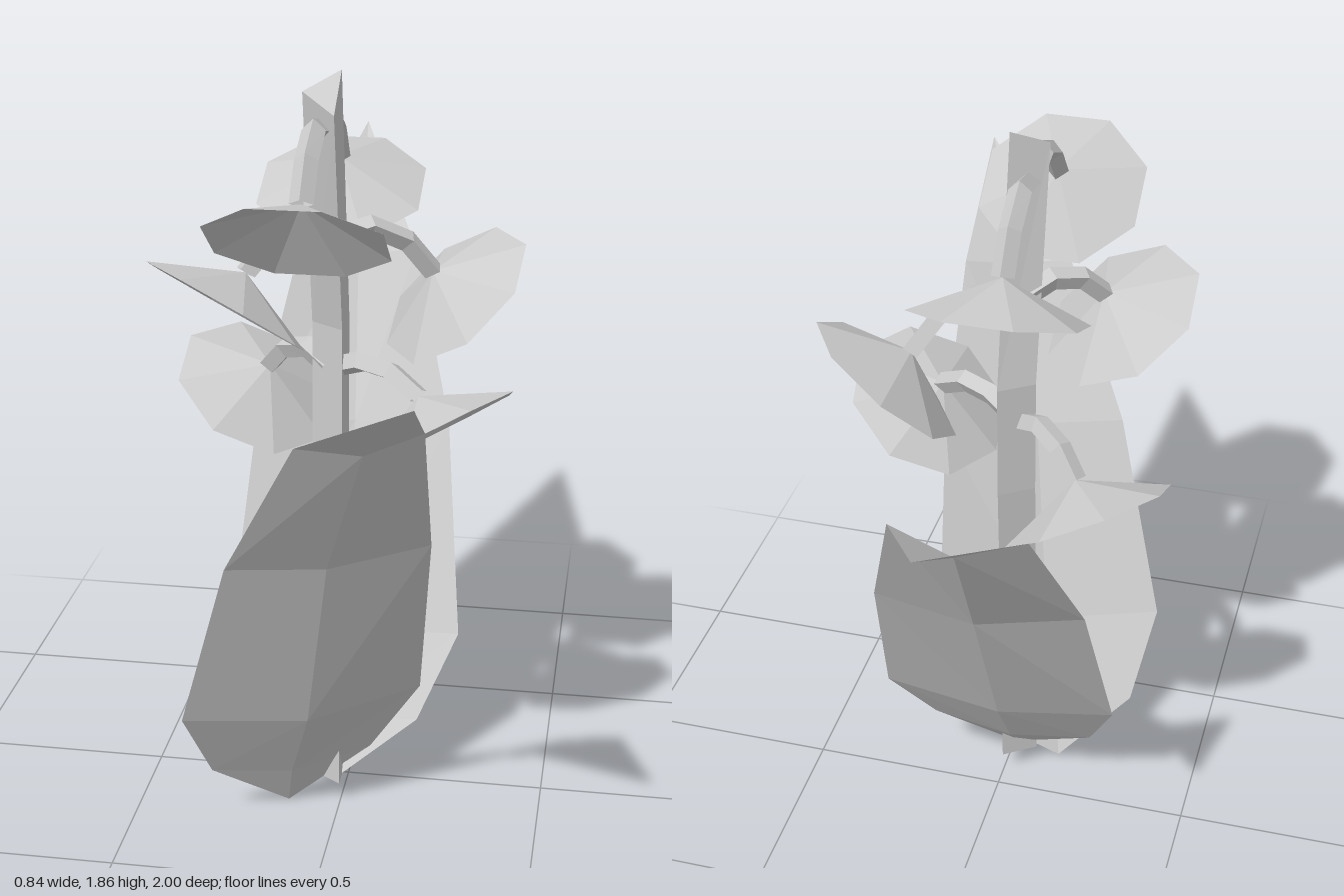
import * as THREE from 'three';

const mat = new THREE.MeshStandardMaterial({ color: 0xcccccc, flatShading: true, side: THREE.DoubleSide });

// Skins neighbouring rows of points, leaving out triangles that collapse at tips
function loft(rows) {
  const pos = [];
  const tri = (...p) => {
    const [a, b, c] = p.map(String);
    if (a !== b && b !== c && a !== c) pos.push(...p.flat());
  };
  for (let i = 0; i < rows.length - 1; i++) {
    for (let j = 0; j < rows[i].length - 1; j++) {
      const a = rows[i][j], b = rows[i][j + 1], c = rows[i + 1][j + 1], d = rows[i + 1][j];
      tri(a, b, c);
      tri(a, c, d);
    }
  }
  const geo = new THREE.BufferGeometry();
  geo.setAttribute('position', new THREE.Float32BufferAttribute(pos, 3));
  geo.computeVertexNormals();
  return geo;
}

function add(parent, name, geo) {
  const mesh = new THREE.Mesh(geo, mat);
  mesh.name = name;
  parent.add(mesh);
  return mesh;
}

// Leaf from rows of [left edge, midrib, right edge] between base and tip
function leaf(parent, name, base, rows, tip) {
  add(parent, name, loft([[base, base, base], ...rows, [tip, tip, tip]]));
}

// Stem section: triangle with a flat side at x = 0; the tip is cut at a slant
function stemRow(y, z, slant = 0) {
  const r = 0.055;
  const front = [0, y - slant, z + r];
  return [front, [0, y + slant, z - r], [-0.08, y, z], front];
}

export function createModel() {
  const plant = new THREE.Group();
  plant.name = 'floweringPlant';

  // Bent stem, capped at both ends
  const bottom = [-0.03, 0.06, 0.1], top = [-0.03, 1.82, 0.155];
  add(plant, 'stem', loft([
    Array(4).fill(bottom),
    stemRow(0.06, 0.1), stemRow(0.35, 0.09), stemRow(0.95, 0.05), stemRow(1.25, 0.045),
    stemRow(1.82, 0.155, 0.04),
    Array(4).fill(top),
  ]));

  // Two broad folded leaves
  leaf(plant, 'frontLeaf', [-0.13, 0, 0.15], [
    [[-0.30, 0.14, 0.27], [-0.11, 0.12, 0.21], [0.07, 0.14, 0.09]],
    [[-0.34, 0.35, 0.40], [-0.05, 0.33, 0.32], [0.20, 0.35, 0.14]],
    [[-0.19, 0.84, 0.57], [0.03, 0.83, 0.51], [0.25, 0.85, 0.39]],
    [[0.00, 1.21, 0.74], [0.14, 1.19, 0.71], [0.26, 1.22, 0.64]],
  ], [0.28, 1.41, 1]);
  leaf(plant, 'backLeaf', [-0.02, 0.05, 0.12], [
    [[-0.24, 0.19, 0.03], [-0.03, 0.17, 0.01], [0.18, 0.19, 0.03]],
    [[-0.32, 0.38, -0.08], [-0.03, 0.36, -0.12], [0.27, 0.38, -0.09]],
    [[-0.29, 0.86, -0.31], [-0.04, 0.84, -0.37], [0.21, 0.86, -0.34]],
    [[-0.22, 1.25, -0.57], [-0.07, 1.22, -0.62], [0.09, 1.25, -0.58]],
  ], [-0.10, 1.49, -1]);

  // Blossoms: rim centre, outward tilt, and where the stalk leaves the stem
  const blossoms = [
    { c: [-0.04, 1.56, 0.455], tilt: 0.64, from: [-0.04, 1.73, 0.14] },
    { c: [-0.04, 1.53, -0.145], tilt: 0.41, from: [-0.04, 1.73, 0.14] },
    { c: [-0.24, 1.345, 0.255], tilt: 0.62, from: [-0.04, 1.46, 0.08] },
    { c: [0.245, 1.29, -0.085], tilt: 0.74, from: [-0.03, 1.46, 0.08] },
    { c: [-0.25, 1.015, -0.12], tilt: 0.62, from: [-0.04, 1.14, 0.05] },
    { c: [0.235, 1.055, 0.21], tilt: 0.62, from: [-0.03, 1.14, 0.05] },
  ];
  const rim = 0.21, depth = 0.09;
  for (const { c, tilt, from } of blossoms) {
    const blossom = new THREE.Group();
    blossom.name = 'blossom';
    plant.add(blossom);
    const center = new THREE.Vector3(...c), start = new THREE.Vector3(...from);
    const heading = Math.atan2(c[0] - from[0], c[2] - from[2]);

    // Shallow eight-sided bell, open underneath and lifted on its outer side
    const cup = new THREE.ConeGeometry(rim, depth, 8, 1, true);
    cup.rotateY(Math.PI / 8).translate(0, depth / 2, 0);
    const bell = add(blossom, 'bell', cup);
    bell.position.copy(center);
    bell.rotation.set(-tilt, heading, 0, 'YXZ');

    // Arched stalk ending at the tip of the bell
    const end = new THREE.Vector3(0, depth, 0).applyEuler(bell.rotation).add(center);
    const bend = start.clone().lerp(end, 0.55).setY(start.y + 0.08);
    const curve = new THREE.QuadraticBezierCurve3(start, bend, end);
    add(blossom, 'stalk', new THREE.TubeGeometry(curve, 3, 0.027, 4));
  }
  return plant;
}
